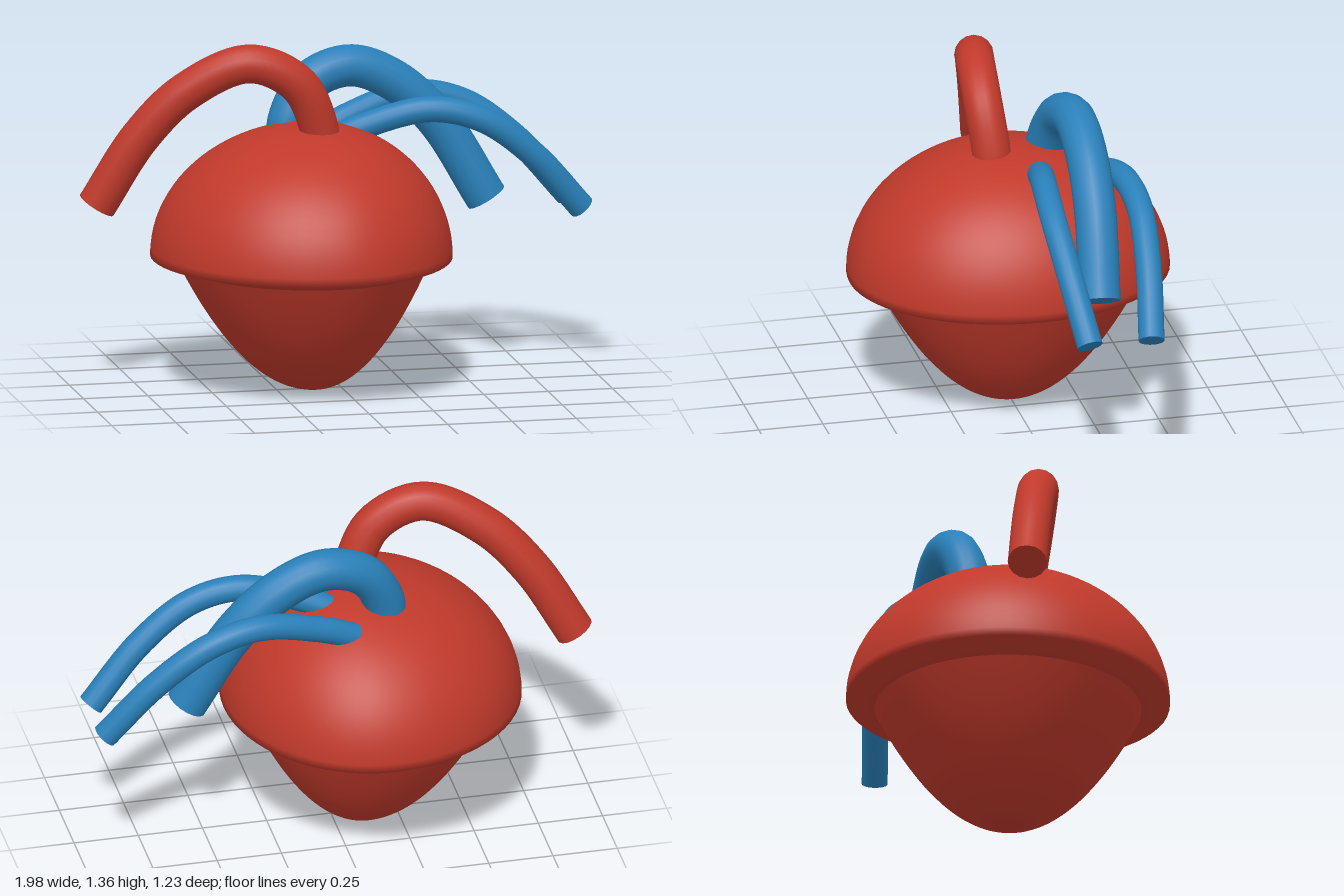
import * as THREE from 'three';

const red = new THREE.MeshStandardMaterial({ color: 0xc0392b });
const blue = new THREE.MeshStandardMaterial({ color: 0x2980b9 });
const CENTRE_X = -0.11;

// Body of revolution whose +x half is slightly flattened.
function skewedLathe(name, points) {
  const geometry = new THREE.LatheGeometry(points, 64);
  const normal = geometry.attributes.normal;
  const position = geometry.attributes.position;
  for (let i = 0; i < position.count; i++) {
    if (position.getX(i) <= 0) continue;
    position.setX(i, position.getX(i) * 0.855);
    const n = new THREE.Vector3().fromBufferAttribute(normal, i);
    n.x /= 0.855;
    n.normalize();
    normal.setXYZ(i, n.x, n.y, n.z);
  }
  const mesh = new THREE.Mesh(geometry, red);
  mesh.name = name;
  mesh.position.x = CENTRE_X;
  return mesh;
}

// Curved tube with flat discs closing both ends.
function vessel(name, points, radius, material) {
  const group = new THREE.Group();
  group.name = name;
  const curve = new THREE.CatmullRomCurve3(points.map(p => new THREE.Vector3(...p)));
  const tube = new THREE.Mesh(new THREE.TubeGeometry(curve, 48, radius, 16), material);
  tube.name = name + 'Tube';
  group.add(tube);
  for (const [t, sign] of [[0, -1], [1, 1]]) {
    const cap = new THREE.Mesh(new THREE.CircleGeometry(radius, 16), material);
    cap.name = name + 'Cap';
    cap.position.copy(curve.getPointAt(t));
    const outward = curve.getTangentAt(t).multiplyScalar(sign);
    cap.quaternion.setFromUnitVectors(new THREE.Vector3(0, 0, 1), outward);
    group.add(cap);
  }
  return group;
}

export function createModel() {
  const model = new THREE.Group();
  model.name = 'heart';

  // Lower chamber: a rounded bowl tapering to the tip
  const bowl = [];
  for (let i = 0; i <= 24; i++) {
    const r = i / 24;
    bowl.push(new THREE.Vector2(0.51 * r, 0.49 * Math.pow(r, 2.05)));
  }
  model.add(skewedLathe('lowerChamber', bowl));

  // Upper chamber: a dome with an overhanging, sloped underside
  const dome = [new THREE.Vector2(0.5, 0.485), new THREE.Vector2(0.617, 0.52)];
  for (let i = 1; i <= 24; i++) {
    const a = (i / 24) * Math.PI / 2;
    dome.push(new THREE.Vector2(0.617 * Math.cos(a), 0.52 + 0.505 * Math.sin(a)));
  }
  model.add(skewedLathe('upperChamber', dome));

  // Red vessel arching to the right
  model.add(vessel('redVessel', [
    [-0.09, 0.9, 0.06], [-0.1, 1.02, 0.07], [-0.185, 1.2, 0.085], [-0.37, 1.285, 0.07],
    [-0.6, 1.18, 0.015], [-0.77, 1.0, -0.035], [-0.93, 0.73, -0.085],
  ], 0.075, red));

  // Thick blue vessel arching to the left
  model.add(vessel('largeBlueVessel', [
    [-0.18, 0.9, -0.155], [-0.165, 1.02, -0.165], [-0.08, 1.15, -0.19], [0.08, 1.2, -0.21],
    [0.25, 1.135, -0.215], [0.42, 0.975, -0.21], [0.605, 0.67, -0.185],
  ], 0.08, blue));

  // Pair of thin blue vessels, mirrored either side of the thick one
  for (const [name, side] of [['frontBlueVessel', 1], ['backBlueVessel', -1]]) {
    model.add(vessel(name, [
      [-0.03, 0.93, 0.085], [0.1, 0.99, 0.11], [0.35, 1.055, 0.155],
      [0.55, 1.01, 0.17], [0.75, 0.865, 0.155], [0.95, 0.64, 0.12],
    ].map(([x, y, z]) => [x, y, -0.185 + side * z]), 0.05, blue));
  }
  return model;
}
